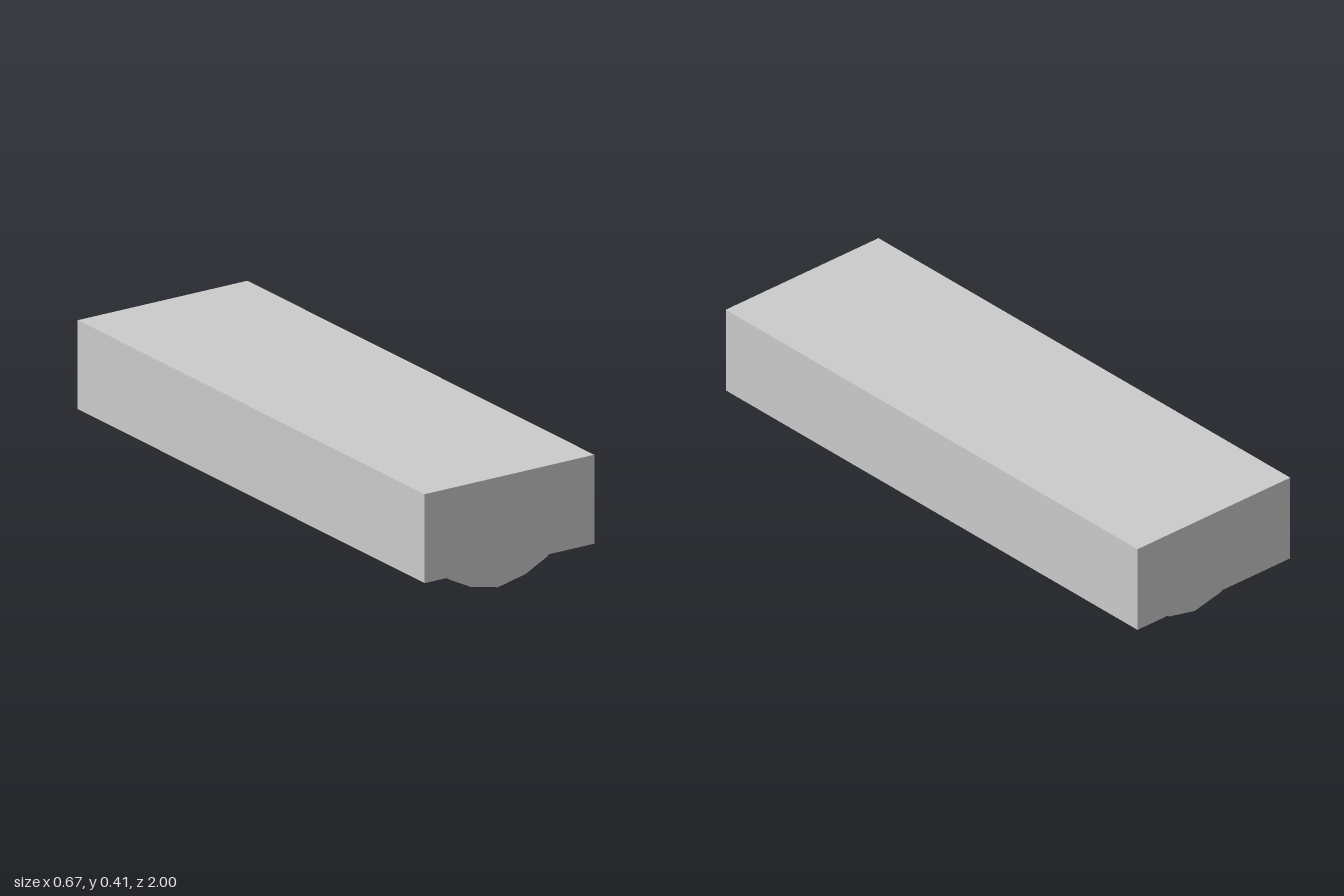
import * as THREE from 'three';

export function createModel() {
  const group = new THREE.Group();
  const material = new THREE.MeshStandardMaterial({ color: 0xcccccc, flatShading: true });

  // Rectangular housing
  const bottom = 0.104, top = 0.411;
  const housing = new THREE.Mesh(new THREE.BoxGeometry(0.666, top - bottom, 2), material);
  housing.name = 'housing';
  housing.position.y = (bottom + top) / 2;
  group.add(housing);

  // Faceted curved diffuser under the housing, mirrored about its keel
  const half = [[0.235, bottom], [0.192, 0.066], [0.109, 0.024]];
  const outline = [
    ...half.map(([x, y]) => [-x, y]),
    [0, 0],
    ...half.slice().reverse(),
  ].map(([x, y]) => new THREE.Vector2(x, y));
  const back = -0.91, front = 0.93;
  const diffuser = new THREE.Mesh(
    new THREE.ExtrudeGeometry(new THREE.Shape(outline), { depth: front - back, bevelEnabled: false }),
    material
  );
  diffuser.name = 'diffuser';
  diffuser.position.set(0.003, 0, back);
  group.add(diffuser);

  return group;
}
